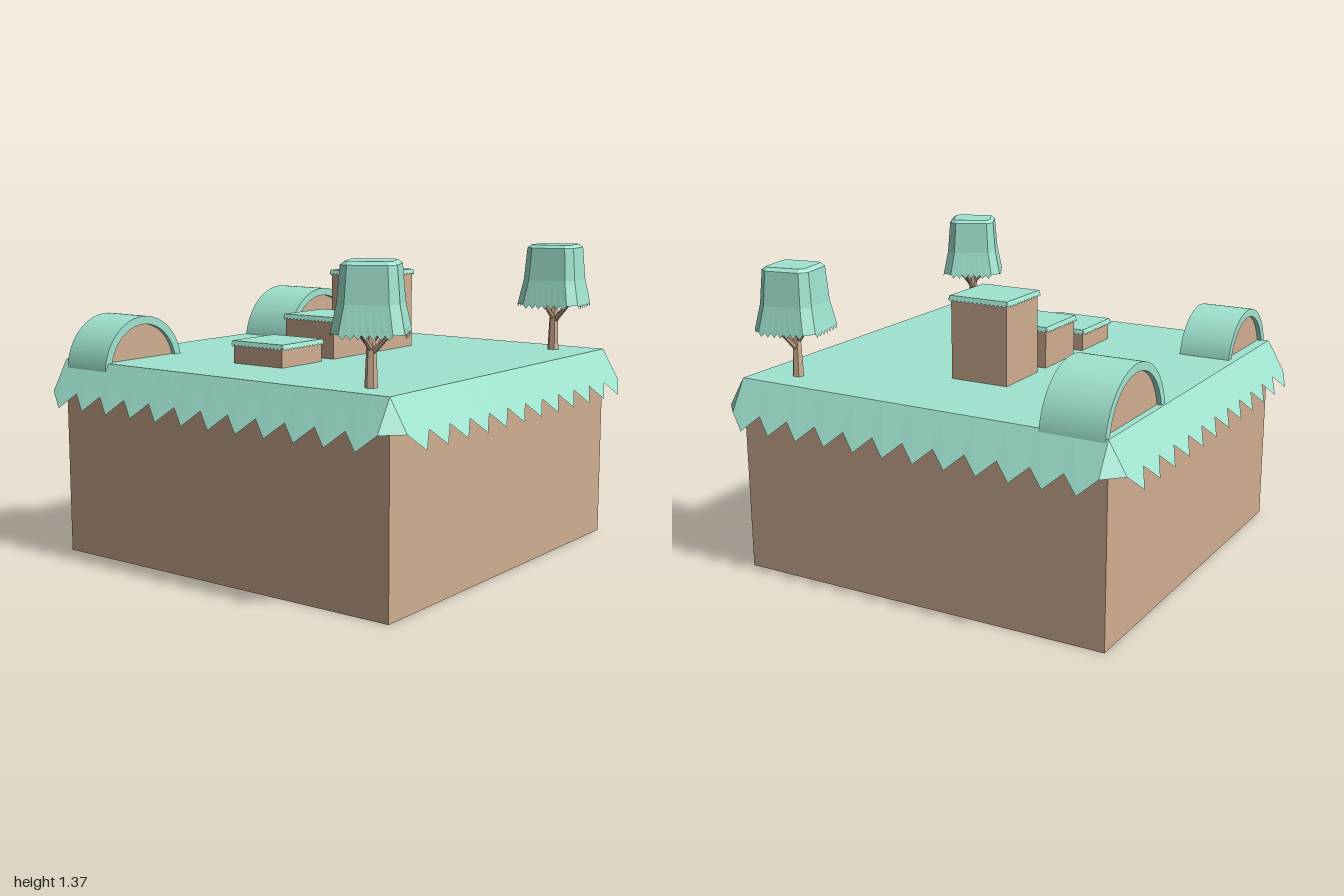
import * as THREE from 'three';
import { toCreasedNormals } from 'three/addons/utils/BufferGeometryUtils.js';

const GRASS = 0xa0e4d0, EARTH = 0xd1ae92;
const grassFlat = new THREE.MeshStandardMaterial({ color: GRASS, flatShading: true, side: THREE.DoubleSide });
const grassSmooth = new THREE.MeshStandardMaterial({ color: GRASS });
const earth = new THREE.MeshStandardMaterial({ color: EARTH });
const bark = new THREE.MeshStandardMaterial({ color: EARTH, flatShading: true });

function add(parent, name, geometry, material, x = 0, y = 0, z = 0) {
  const mesh = new THREE.Mesh(geometry, material);
  mesh.name = name;
  mesh.position.set(x, y, z);
  parent.add(mesh);
  return mesh;
}

// Open square shell with bevelled corners, closed on top. Levels run from top to bottom:
// y = height, h = half width, e = half length of the flat side.
// tipY and tipH move every second point, which makes a toothed rim.
function shell(levels, segments) {
  const points = [], index = [];
  const count = 4 * (segments + 1);
  for (const { y, h, e, tipY = y, tipH = h } of levels) {
    for (let side = 0; side < 4; side++) {
      const c = Math.round(Math.cos(side * Math.PI / 2)), s = Math.round(Math.sin(side * Math.PI / 2));
      for (let j = 0; j <= segments; j++) {
        const along = -e + 2 * e * j / segments;
        const out = j % 2 ? tipH : h;
        points.push(along * c + out * s, j % 2 ? tipY : y, out * c - along * s);
      }
    }
  }
  for (let l = 0; l < levels.length - 1; l++) {
    for (let i = 0; i < count; i++) {
      const n = (i + 1) % count;
      const a = l * count + i, b = l * count + n, c = a + count, d = b + count;
      index.push(c, d, a, d, b, a);
    }
  }
  const centre = points.length / 3;
  points.push(0, levels[0].y, 0);
  for (let i = 0; i < count; i++) index.push(centre, i, (i + 1) % count);
  const geometry = new THREE.BufferGeometry();
  geometry.setAttribute('position', new THREE.Float32BufferAttribute(points, 3));
  geometry.setIndex(index);
  geometry.computeVertexNormals();
  return geometry;
}

// Half round slab; with an inner radius it becomes an arch band
function halfRound(outer, inner, depth) {
  const shape = new THREE.Shape();
  shape.absarc(0, 0, outer, 0, Math.PI, false);
  if (inner) shape.absarc(0, 0, inner, Math.PI, 0, true);
  shape.closePath();
  const geometry = new THREE.ExtrudeGeometry(shape, { depth, bevelEnabled: false, curveSegments: 32 });
  geometry.translate(0, 0, -depth / 2);
  return toCreasedNormals(geometry, 0.5);
}

function limb(parent, name, from, to, r0, r1) {
  const a = new THREE.Vector3(...from), b = new THREE.Vector3(...to);
  const dir = b.clone().sub(a);
  const mesh = add(parent, name, new THREE.CylinderGeometry(r1, r0, dir.length(), 6), bark);
  mesh.position.copy(a).add(b).multiplyScalar(0.5);
  mesh.quaternion.setFromUnitVectors(new THREE.Vector3(0, 1, 0), dir.normalize());
}

function tree(name, x, z, turn) {
  const group = new THREE.Group();
  group.name = name;
  group.position.set(x, 0.88, z);
  group.rotation.y = turn;
  // Trunk and spreading branches
  limb(group, 'trunk', [0, -0.01, 0], [0, 0.15, 0], 0.027, 0.02);
  limb(group, 'trunkTop', [0, 0.14, 0], [0.01, 0.28, 0], 0.02, 0.009);
  for (let i = 0; i < 4; i++) {
    const a = i * Math.PI / 2 + 0.35;
    const y = 0.12 + 0.012 * i;
    limb(group, 'branch', [0, y, 0], [Math.cos(a) * 0.085, y + 0.085, Math.sin(a) * 0.085], 0.013, 0.008);
  }
  // Hollow crown with a frayed rim
  add(group, 'crown', shell([
    { y: 0.492, h: 0.092, e: 0.075 },
    { y: 0.478, h: 0.110, e: 0.078 },
    { y: 0.33, h: 0.122, e: 0.086 },
    { y: 0.218, h: 0.144, e: 0.104, tipY: 0.2, tipH: 0.147 },
  ], 14), grassFlat);
  return group;
}

export function createModel() {
  const model = new THREE.Group();
  model.name = 'grassIsland';

  // Ground block with a toothed grass cover
  add(model, 'groundBlock', new THREE.BoxGeometry(1.76, 0.875, 1.76), earth, 0, 0.4375, 0);
  add(model, 'grassCover', shell([
    { y: 0.88, h: 0.88, e: 0.88 },
    { y: 0.745, h: 0.96, e: 0.88, tipY: 0.68, tipH: 1 },
  ], 24), grassFlat);

  // Three step blocks with grass caps
  for (const [x, top] of [[-0.4, 0.98], [-0.04, 1.067], [0.308, 1.248]]) {
    const step = new THREE.Group();
    step.name = 'stepBlock';
    step.position.set(x, 0, -0.053);
    const height = top - 0.88;
    add(step, 'stepBody', new THREE.BoxGeometry(0.272, height, 0.272), earth, 0, 0.877 + height / 2, 0);
    add(step, 'stepCap', shell([
      { y: top, h: 0.14, e: 0.14 },
      { y: top - 0.017, h: 0.147, e: 0.14, tipY: top - 0.026, tipH: 0.151 },
    ], 28), grassFlat);
    model.add(step);
  }

  // Two arched mounds at the back
  for (const [x, z, r, depth] of [[-0.663, -0.73, 0.238, 0.24], [0.61, -0.728, 0.28, 0.284]]) {
    const mound = new THREE.Group();
    mound.name = 'archedMound';
    mound.position.set(x, 0.832, z);
    add(mound, 'moundGrass', halfRound(r, r - 0.036, depth), grassSmooth);
    add(mound, 'moundEarth', halfRound(r - 0.035, 0, depth - 0.04), earth);
    model.add(mound);
  }

  // Two trees at the front corners
  model.add(tree('rightTree', -0.738, 0.693, 0.47));
  model.add(tree('leftTree', 0.733, 0.693, 0.19));
  return model;
}
